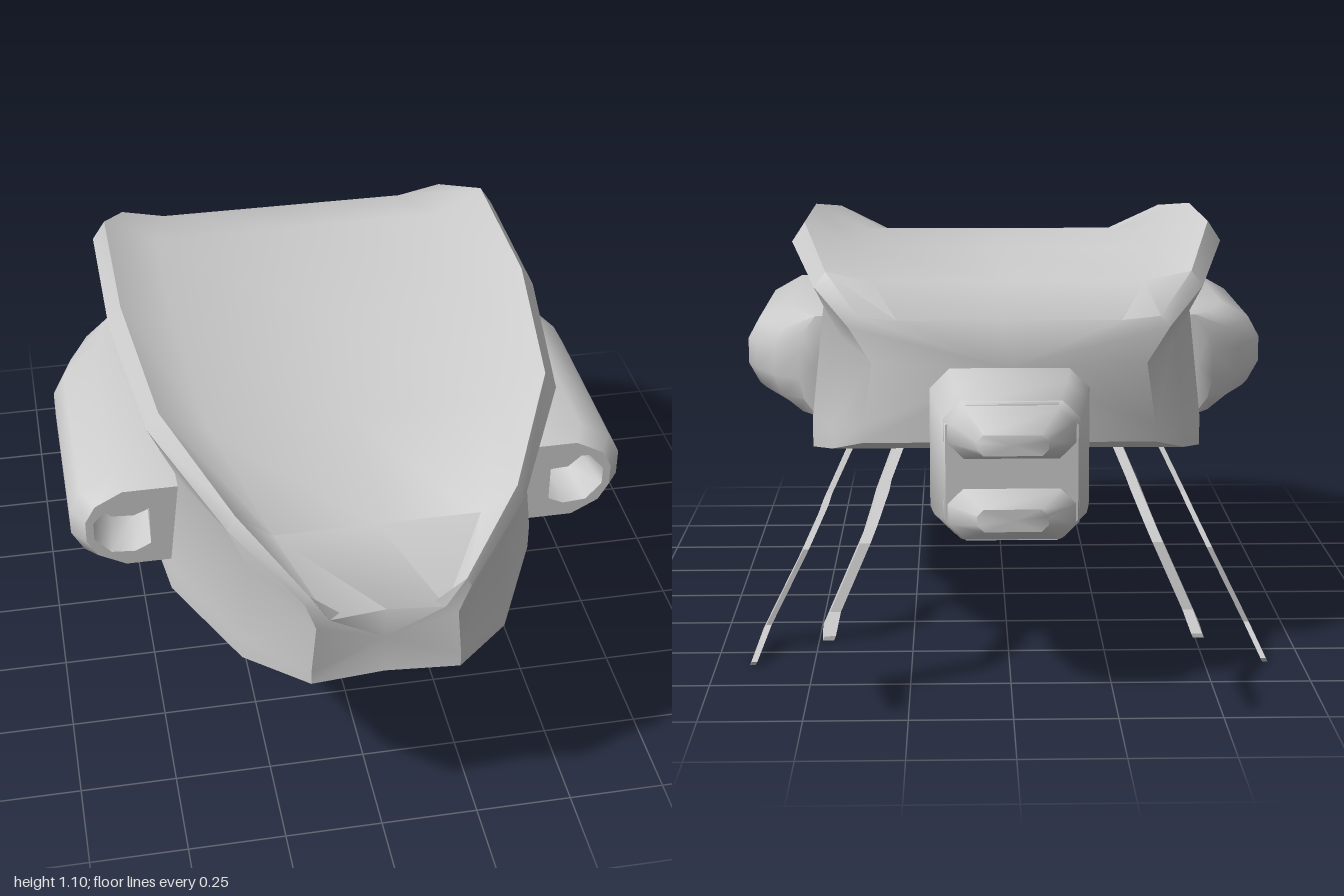
import * as THREE from 'three';
import { toCreasedNormals } from 'three/addons/utils/BufferGeometryUtils.js';

const material = new THREE.MeshStandardMaterial({ color: 0xcccccc, side: THREE.DoubleSide });

// Closed skin through equal-length rings of [x, y, z]; the ends are fanned to a centre point
function loft(rings, crease = 0.9, endCentre = null) {
  const tris = [];
  const n = rings[0].length;
  const mean = (r) => [0, 1, 2].map((k) => r.reduce((s, p) => s + p[k], 0) / n);
  const first = mean(rings[0]);
  const last = endCentre || mean(rings[rings.length - 1]);
  for (let j = 0; j < n; j++) {
    const k = (j + 1) % n;
    for (let i = 0; i < rings.length - 1; i++) {
      const [a, b, c, d] = [rings[i][j], rings[i][k], rings[i + 1][k], rings[i + 1][j]];
      tris.push([a, b, c], [a, c, d]);
    }
    tris.push([first, rings[0][k], rings[0][j]]);
    tris.push([last, rings[rings.length - 1][j], rings[rings.length - 1][k]]);
  }
  // Turn the faces outward
  let volume = 0;
  for (const [a, b, c] of tris) {
    volume += new THREE.Vector3(...a).dot(new THREE.Vector3(...b).cross(new THREE.Vector3(...c)));
  }
  if (volume < 0) tris.forEach((t) => t.reverse());
  const geometry = new THREE.BufferGeometry();
  geometry.setAttribute('position', new THREE.Float32BufferAttribute(tris.flat(2), 3));
  return toCreasedNormals(geometry, crease);
}

// Full outline from a right half listed top to bottom
const mirrorRing = (half) => [...half, ...half.slice().reverse().filter((p) => p[0] > 0).map(([x, y, z]) => [-x, y, z])];

// Wing shell: flared rim on both sides, shallow valley between
function shellGeometry() {
  // z, half width, rim height, bottom height, valley depth
  const stations = [
    [-0.59, 0.4, 0.9, 0.58, 0.01],
    [-0.5, 0.49, 1.0, 0.545, 0.025],
    [-0.28, 0.56, 1.1, 0.5, 0.07],
    [0.16, 0.56, 1.1, 0.5, 0.07],
    [0.57, 0.51, 1.05, 0.5, 0.07],
    [0.86, 0.36, 0.94, 0.5, 0.07],
    [1.0, 0.2, 0.79, 0.515, 0.08],
  ];
  const rings = stations.map(([z, w, top, low, dip]) => {
    const h = top - low;
    const dent = z === 1 ? 0.015 : 0;
    return mirrorRing([
      [0, top - dip, z - dent],
      [0.7 * w, top - dip, z],
      [0.94 * w, top, z],
      [w, top - 0.085 * h, z],
      [0.86 * w, low + 0.63 * h, z],
      [0.92 * w, low + 0.13 * h, z],
      [0.92 * w, low, z],
      [0, low, z - dent],
    ]);
  });
  return loft(rings, 0.85, [0, 0.61, 0.97]);
}

// Chamfered box section used by the belly and jaws
function chamferRing(z, w, low, high) {
  const c = Math.min(0.05, (high - low) * 0.3, w * 0.4);
  return mirrorRing([
    [w - c, high, z], [w, high - c, z], [w, low + c, z], [w - c, low, z],
  ]);
}

// Side pod: D section with a hollow front end and a rear that tapers into the shell
function podGeometry(side) {
  const outline = [[0.44, 0.845], [0.6, 0.845], [0.68, 0.8], [0.71, 0.745],
    [0.71, 0.675], [0.68, 0.62], [0.6, 0.575], [0.46, 0.575]];
  const hole = [[0.515, 0.765], [0.555, 0.785], [0.615, 0.78], [0.655, 0.735],
    [0.655, 0.685], [0.615, 0.64], [0.555, 0.635], [0.515, 0.655]];
  const section = (pts, z, sx, sy) =>
    pts.map(([x, y]) => [side * (0.44 + (x - 0.44) * sx), 0.71 + (y - 0.71) * sy, z]);
  return loft([
    section(outline, -0.24, 0.42, 1),
    section(outline, -0.18, 0.68, 1),
    section(outline, -0.07, 0.9, 1),
    section(outline, 0, 1, 1),
    section(outline, 0.52, 1, 1),
    section(outline, 0.57, 0.87, 0.84),
    section(hole, 0.57, 1, 1),
    section(hole, 0.45, 0.93, 0.75),
  ]);
}

// Flat jointed leg: outline in (z, y), leaning outward as it goes down
function legGeometry(outline, x0, lean, thickness, side) {
  const ring = (w) => outline.map(([z, y]) => [side * (x0 + (0.5 - y) * lean + w), y, z]);
  const shape = new THREE.Shape(outline.map(([z, y]) => new THREE.Vector2(-z, y)));
  const geometry = new THREE.ExtrudeGeometry(shape, { depth: thickness, bevelEnabled: false });
  geometry.translate(0, 0, -thickness / 2).rotateY(Math.PI / 2);
  const p = geometry.attributes.position;
  for (let i = 0; i < p.count; i++) {
    p.setX(i, p.getX(i) + side * (x0 + (0.5 - p.getY(i)) * lean));
  }
  geometry.computeVertexNormals();
  return geometry;
}

export function createModel() {
  const model = new THREE.Group();
  model.name = 'beetle';
  const add = (name, geometry) => {
    const mesh = new THREE.Mesh(geometry, material);
    mesh.name = name;
    model.add(mesh);
  };

  add('shell', shellGeometry());

  // Belly running back into the head
  add('bellyAndHead', loft([
    chamferRing(0.37, 0.16, 0.46, 0.6),
    chamferRing(0.32, 0.18, 0.42, 0.65),
    chamferRing(0.2, 0.2, 0.385, 0.7),
    chamferRing(0.08, 0.2, 0.37, 0.75),
    chamferRing(-0.6, 0.2, 0.37, 0.77),
    chamferRing(-0.68, 0.19, 0.37, 0.755),
    chamferRing(-0.82, 0.16, 0.39, 0.725),
  ]));

  // Jaws with an open mouth between them
  add('upperJaw', loft([
    chamferRing(-0.8, 0.165, 0.59, 0.73),
    chamferRing(-0.83, 0.15, 0.595, 0.72),
    chamferRing(-0.91, 0.085, 0.62, 0.67),
  ]));
  add('lowerJaw', loft([
    chamferRing(-0.8, 0.165, 0.39, 0.525),
    chamferRing(-0.83, 0.15, 0.395, 0.515),
    chamferRing(-0.91, 0.085, 0.435, 0.49),
  ]));

  const middleLeg = [[-0.11, 0.51], [-0.25, 0.345], [-0.33, 0.33], [-0.405, 0.24], [-0.405, 0.035],
    [-0.6, 0], [-0.61, 0.012], [-0.455, 0.06], [-0.455, 0.265], [-0.37, 0.36], [-0.28, 0.37], [-0.19, 0.51]];
  const headLeg = [[-0.38, 0.53], [-0.51, 0.44], [-0.6, 0.425], [-0.735, 0.39], [-0.79, 0.17],
    [-1, 0.2], [-1, 0.21], [-0.83, 0.215], [-0.79, 0.375], [-0.755, 0.41], [-0.635, 0.468], [-0.55, 0.475], [-0.47, 0.54]];

  for (const [side, label] of [[1, 'left'], [-1, 'right']]) {
    add(label + 'Pod', podGeometry(side));
    add(label + 'MiddleLeg', legGeometry(middleLeg, 0.41, 0.495, 0.014, side));
    add(label + 'HeadLeg', legGeometry(headLeg, 0.3, 0.45, 0.026, side));
  }
  return model;
}
